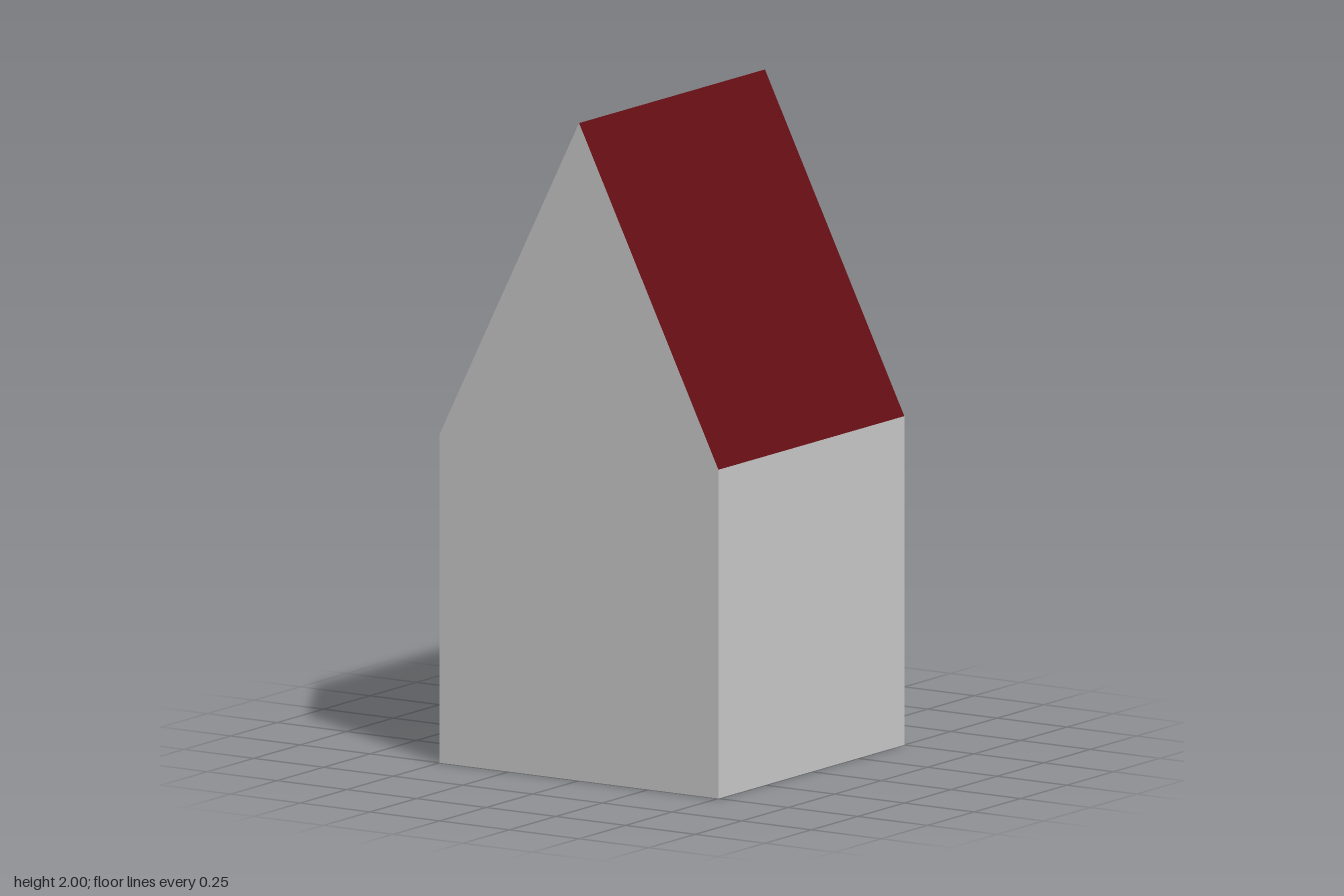
import * as THREE from 'three';

const WIDTH = 1, DEPTH = 1, EAVES = 1, RIDGE = 2;

export function createModel() {
  const house = new THREE.Group();
  house.name = 'house';

  const wallMaterial = new THREE.MeshStandardMaterial({ color: 0xcccccc, side: THREE.DoubleSide });
  const roofMaterial = new THREE.MeshStandardMaterial({ color: 0x650f14, side: THREE.DoubleSide });

  const add = (name, geometry, material) => {
    const mesh = new THREE.Mesh(geometry, material);
    mesh.name = name;
    house.add(mesh);
  };

  // Five-sided gable outline shared by the front and back walls
  const half = WIDTH / 2;
  const gable = new THREE.Shape([
    new THREE.Vector2(-half, 0),
    new THREE.Vector2(half, 0),
    new THREE.Vector2(half, EAVES),
    new THREE.Vector2(0, RIDGE),
    new THREE.Vector2(-half, EAVES),
  ]);
  for (const [name, turn] of [['frontGable', 0], ['backGable', Math.PI]]) {
    add(name, new THREE.ShapeGeometry(gable).translate(0, 0, DEPTH / 2).rotateY(turn), wallMaterial);
  }

  // Side walls and the roof slopes that lean in from their tops to the ridge
  const rise = RIDGE - EAVES;
  const slope = Math.hypot(half, rise);
  const lean = Math.atan2(half, rise);
  for (const [name, sign] of [['left', 1], ['right', -1]]) {
    const turn = sign * Math.PI / 2;
    add(name + 'Wall',
      new THREE.PlaneGeometry(DEPTH, EAVES).translate(0, EAVES / 2, half).rotateY(turn),
      wallMaterial);
    add(name + 'RoofSlope',
      new THREE.PlaneGeometry(DEPTH, slope).rotateX(-lean)
        .translate(0, EAVES + rise / 2, half / 2).rotateY(turn),
      roofMaterial);
  }

  // Floor, facing down
  add('floor', new THREE.PlaneGeometry(WIDTH, DEPTH).rotateX(Math.PI / 2), wallMaterial);

  return house;
}
